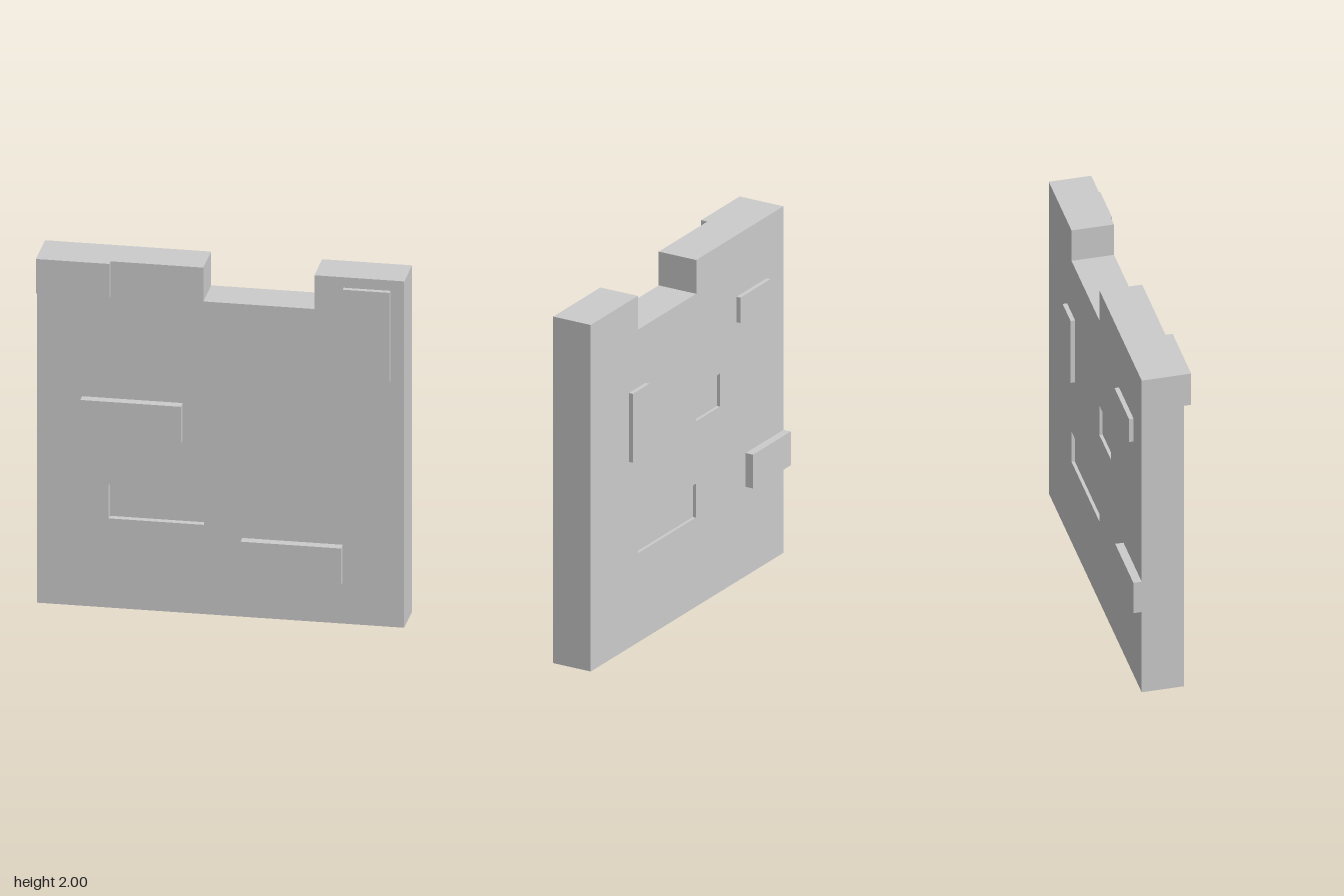
import * as THREE from 'three';

const FRONT = 0.113, BACK = -0.122;
const FRONT_RECESS = 0.038, BACK_RECESS = 0.018;

// Rectangles are [x0, x1, y0, y1]
const corners = ([x0, x1, y0, y1]) =>
  [[x0, y0], [x1, y0], [x1, y1], [x0, y1]].map(([x, y]) => new THREE.Vector2(x, y));

export function createModel() {
  const group = new THREE.Group();
  const material = new THREE.MeshStandardMaterial({ color: 0xcccccc, flatShading: true });

  const add = (name, geometry) => {
    const mesh = new THREE.Mesh(geometry, material);
    mesh.name = name;
    group.add(mesh);
    return mesh;
  };

  // One layer of the notched wall, with optional rectangular openings
  const layer = (name, z0, z1, openings = []) => {
    const outline = [[-1, 0], [1, 0], [1, 2], [0.51, 2], [0.51, 1.805], [-0.095, 1.805], [-0.095, 2], [-1, 2]];
    const shape = new THREE.Shape(outline.map(([x, y]) => new THREE.Vector2(x, y)));
    for (const rect of openings) shape.holes.push(new THREE.Path(corners(rect).reverse()));
    const geometry = new THREE.ExtrudeGeometry(shape, { depth: z1 - z0, bevelEnabled: false });
    add(name, geometry.translate(0, 0, z0));
  };

  // Wall: solid core between two faces that carry the sunken bricks
  layer('wallCore', BACK + BACK_RECESS, FRONT - FRONT_RECESS);
  layer('wallFront', FRONT - FRONT_RECESS, FRONT, [[-0.61, -0.09, 0.515, 0.71]]);
  layer('wallBack', BACK, BACK + BACK_RECESS, [
    [-0.34, -0.09, 1.07, 1.26],
    [-0.09, 0.51, 0.515, 0.71],
  ]);

  // Raised bricks, rooted slightly inside the wall
  const brick = (name, [x0, x1, y0, y1], zFace) => {
    const zRoot = zFace > 0 ? FRONT - 0.01 : BACK + 0.01;
    const geometry = new THREE.BoxGeometry(x1 - x0, y1 - y0, Math.abs(zFace - zRoot));
    add(name, geometry).position.set((x0 + x1) / 2, (y0 + y1) / 2, (zFace + zRoot) / 2);
  };

  brick('frontCornerBrick', [-1, -0.6, 1.8, 2], 0.152);
  brick('frontUprightBrick', [0.67, 0.925, 1.42, 1.94], 0.143);
  brick('frontMiddleBrick', [-0.755, -0.207, 0.995, 1.21], 0.168);
  brick('frontLowerBrick', [0.118, 0.665, 0.24, 0.455], 0.168);
  brick('backUprightBrick', [0.433, 0.605, 1.075, 1.472], -0.147);
  brick('backUpperBrick', [-0.825, -0.512, 1.498, 1.645], -0.147);
  brick('backEdgeBrick', [-1, -0.608, 0.515, 0.71], -0.168);

  return group;
}
